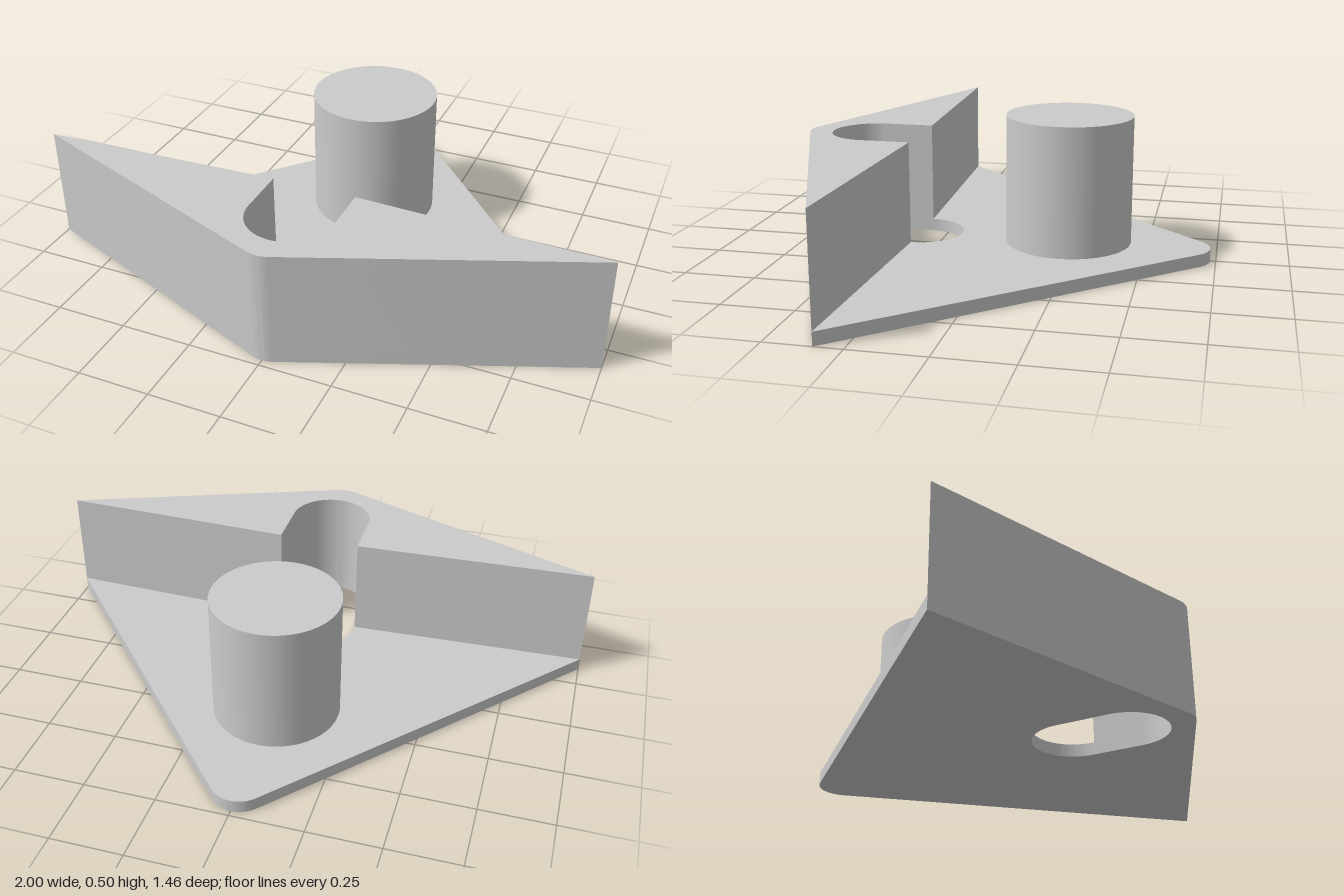
import * as THREE from 'three';
import { toCreasedNormals } from 'three/addons/utils/BufferGeometryUtils.js';

// Plan dimensions; shapes are drawn with y = -z, then laid flat
const CORNER_Y = -0.343;
const TIP_R = 0.1;
const REAR_Y = 0.63;
const FRONT_Y = -0.625;
const SLOT_R = 0.147;
const SLOT_REAR = -0.307;
const SLOT_FRONT = -0.49;
const BASE_H = 0.045;
const BLOCK_TOP = 0.407;

// Angle at which a line from the right corner touches a rounded tip
function tangentAngle(tipY, side) {
  const dy = CORNER_Y - tipY;
  return Math.atan2(dy, 1) + side * Math.acos(TIP_R / Math.hypot(1, dy));
}

// Left corner, rounded front tip, right corner
function addFrontEdge(shape) {
  const a = tangentAngle(FRONT_Y, -1);
  shape.lineTo(-1, CORNER_Y);
  shape.absarc(0, FRONT_Y, TIP_R, Math.PI - a, 2 * Math.PI + a, false);
  shape.lineTo(1, CORNER_Y);
}

function slab(name, shape, bottom, top, material) {
  let geometry = new THREE.ExtrudeGeometry(shape, {
    depth: top - bottom, bevelEnabled: false, curveSegments: 24,
  });
  geometry.rotateX(-Math.PI / 2);
  geometry.translate(0, bottom, 0);
  geometry = toCreasedNormals(geometry, 0.4);
  const mesh = new THREE.Mesh(geometry, material);
  mesh.name = name;
  return mesh;
}

export function createModel() {
  const group = new THREE.Group();
  group.name = 'slottedBracket';
  const material = new THREE.MeshStandardMaterial({ color: 0xcccccc });

  // Kite-shaped base plate with rounded front and rear tips
  const plate = new THREE.Shape();
  const rear = tangentAngle(REAR_Y, 1);
  plate.absarc(0, REAR_Y, TIP_R, rear, Math.PI - rear, false);
  addFrontEdge(plate);
  plate.closePath();

  // Through slot
  const slot = new THREE.Path();
  slot.absarc(0, SLOT_REAR, SLOT_R, 0, Math.PI, false);
  slot.absarc(0, SLOT_FRONT, SLOT_R, Math.PI, 2 * Math.PI, false);
  slot.closePath();
  plate.holes.push(slot);
  group.add(slab('basePlate', plate, 0, BASE_H, material));

  // Raised front block, notched by the slot
  const block = new THREE.Shape();
  block.moveTo(SLOT_R, -0.312);
  block.lineTo(SLOT_R, SLOT_FRONT);
  block.absarc(0, SLOT_FRONT, SLOT_R, 0, -Math.PI, true);
  block.lineTo(-SLOT_R, -0.312);
  addFrontEdge(block);
  block.closePath();
  group.add(slab('frontBlock', block, BASE_H, BLOCK_TOP, material));

  // Round post behind the slot
  const postH = 0.5 - BASE_H;
  const post = new THREE.Mesh(new THREE.CylinderGeometry(0.222, 0.222, postH, 64), material);
  post.name = 'post';
  post.position.set(0, BASE_H + postH / 2, -0.23);
  group.add(post);

  return group;
}
